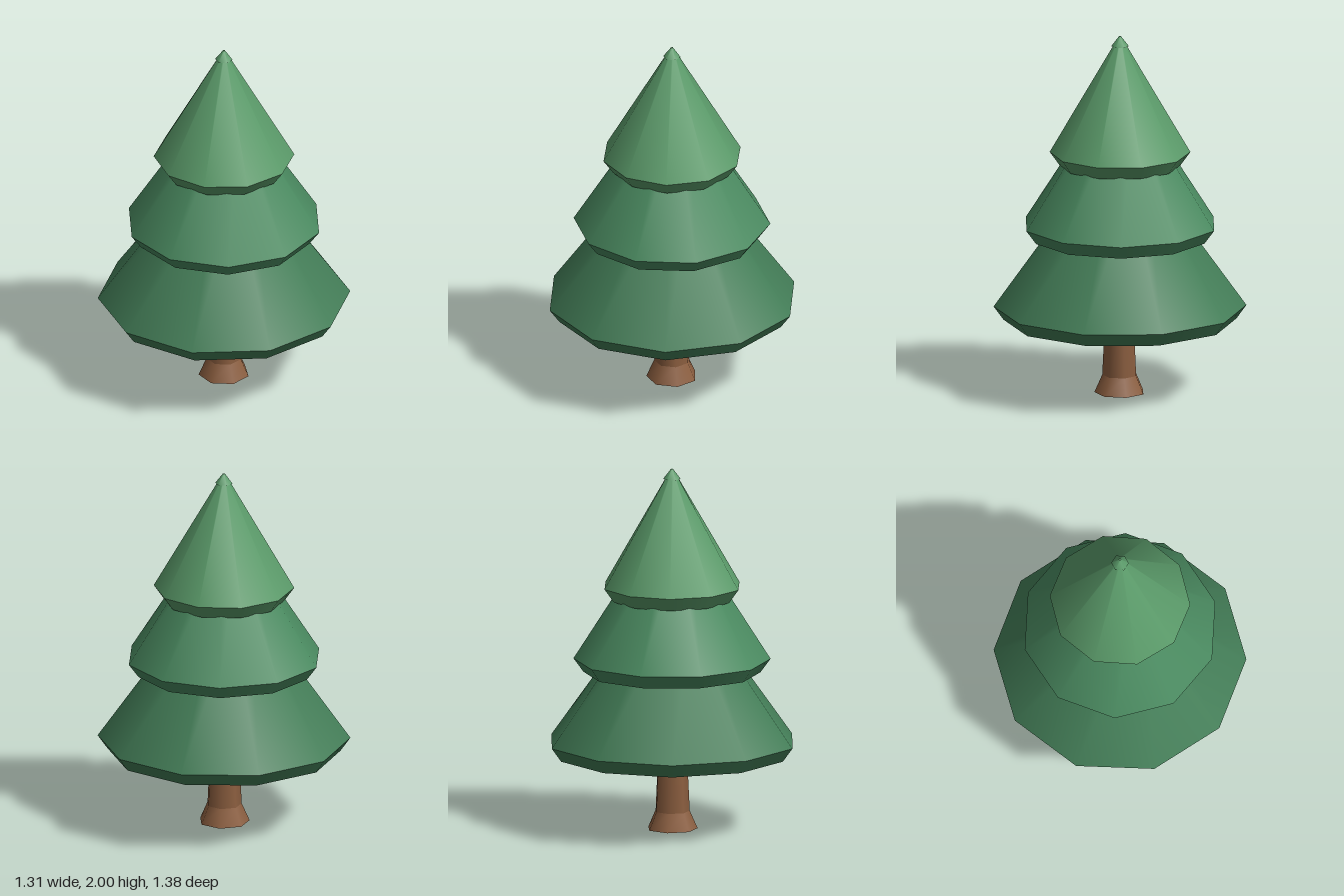
import * as THREE from 'three';

// Tapered ring with smooth sides and crisp rims, placed by its bottom and top height
function taper(name, material, sides, y0, y1, r0, r1, open = false) {
  const geometry = new THREE.CylinderGeometry(r1, r0, y1 - y0, sides, 1, open);
  geometry.translate(0, (y0 + y1) / 2, 0);
  const mesh = new THREE.Mesh(geometry, material);
  mesh.name = name;
  return mesh;
}

const paint = (color) => new THREE.MeshStandardMaterial({ color, roughness: 0.9 });

export function createModel() {
  const tree = new THREE.Group();
  tree.name = 'pineTree';

  // Seven-sided trunk with a flared foot
  const bark = paint(0x8b5e3f);
  tree.add(taper('trunk', bark, 7, 0.05, 0.46, 0.099, 0.08));
  tree.add(taper('rootFlare', bark, 7, 0, 0.1, 0.14, 0.096));

  // Three foliage tiers, each twisted a little against the one below
  const tiers = [
    { name: 'lowerTier', color: 0x437d57, bottom: 0.41, rim: 0.485, top: 1.2, rBottom: 0.636, rRim: 0.69, rTop: 0.178 },
    { name: 'middleTier', color: 0x4a8a60, bottom: 0.87, rim: 0.945, top: 1.6, rBottom: 0.483, rRim: 0.538, rTop: 0.12 },
    { name: 'upperTier', color: 0x5a9a69, bottom: 1.275, rim: 1.35, top: 1.99, rBottom: 0.33, rRim: 0.384, rTop: 0.012 },
  ];
  tiers.forEach((t, i) => {
    const tier = new THREE.Group();
    const leaf = paint(t.color);
    tier.name = t.name;
    tier.add(taper('slope', leaf, 10, t.rim, t.top, t.rRim, t.rTop, i < 2));
    tier.add(taper('underLip', leaf, 10, t.bottom, t.rim, t.rBottom, t.rRim));
    tier.rotation.y = i * 0.3;
    tree.add(tier);
  });

  // Small six-sided cap on the peak
  tree.add(taper('tip', paint(0x5a9a69), 6, 1.945, 2, 0.048, 0.006));

  return tree;
}
